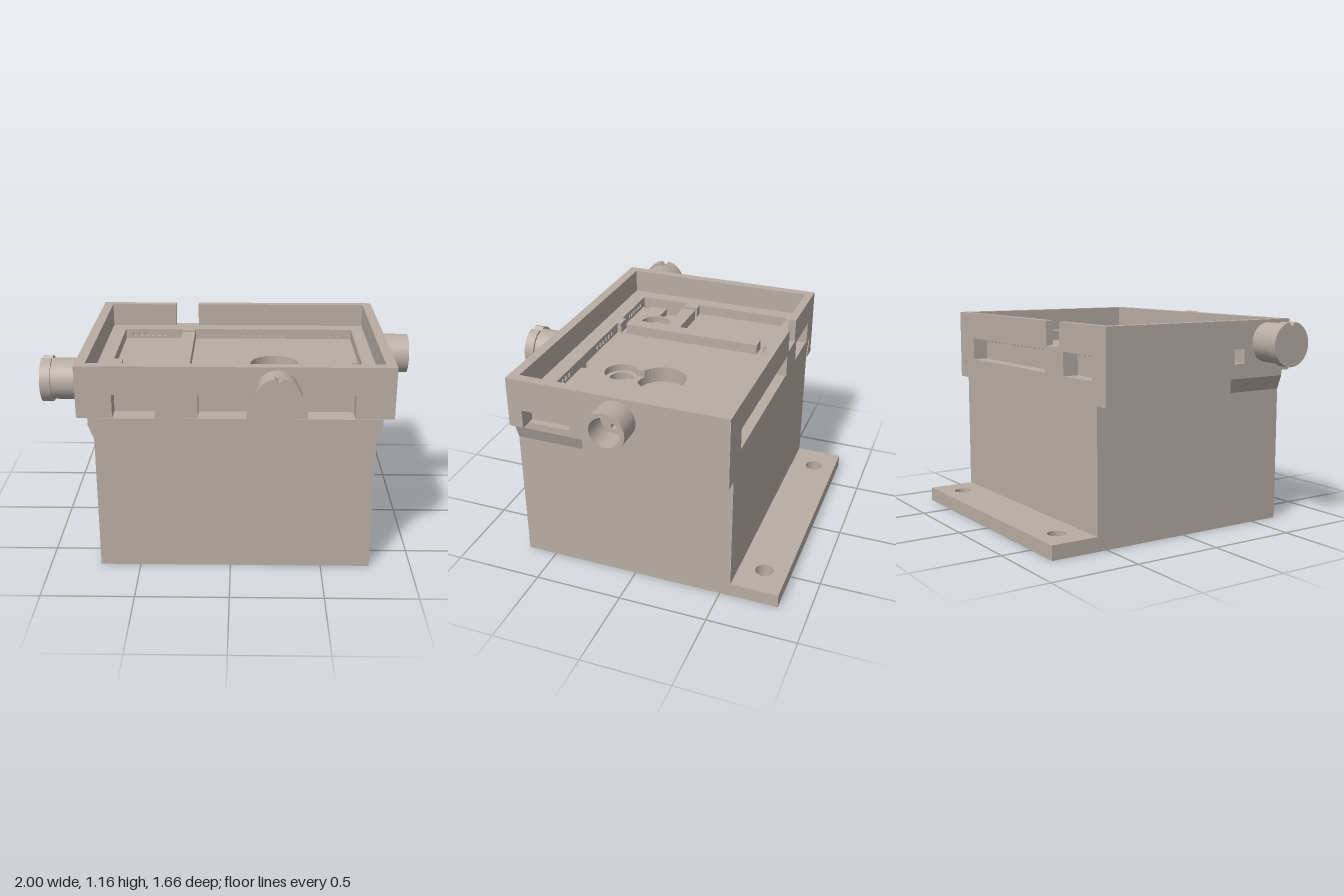
import * as THREE from 'three';

const X0 = -0.81, X1 = 0.86, Z0 = -0.565, Z1 = 0.665, MID = 0.025;

export function createModel() {
  const model = new THREE.Group();
  model.name = 'instrumentBox';
  const taupe = new THREE.MeshStandardMaterial({ color: 0xb8ada5 });
  taupe.name = 'warmGrey';

  const add = (name, geometry, parent = model) => {
    const mesh = new THREE.Mesh(geometry, taupe);
    mesh.name = name;
    parent.add(mesh);
    return mesh;
  };
  const box = (name, x0, x1, y0, y1, z0, z1, parent) =>
    add(name, new THREE.BoxGeometry(x1 - x0, y1 - y0, z1 - z0), parent)
      .position.set((x0 + x1) / 2, (y0 + y1) / 2, (z0 + z1) / 2);

  // Plan outlines are [x, z] lists, raised from y0 to y1
  const vec = (pts) => pts.map(([x, z]) => new THREE.Vector2(x, -z));
  const circle = (x, z, r) => Array.from({ length: 40 }, (_, i) => {
    const a = (i / 40) * Math.PI * 2;
    return [x + r * Math.cos(a), z + r * Math.sin(a)];
  });
  const rect = (x0, x1, z0, z1) => [[x0, z1], [x1, z1], [x1, z0], [x0, z0]];
  const slab = (name, y0, y1, outline, holes = [], parent = model) => {
    const shape = new THREE.Shape(vec(outline));
    for (const h of holes) shape.holes.push(new THREE.Path(vec(h)));
    const g = new THREE.ExtrudeGeometry(shape, { depth: y1 - y0, bevelEnabled: false });
    g.rotateX(-Math.PI / 2).translate(0, y0, 0);
    return add(name, g, parent);
  };
  // Profile in x/y, run along z
  const alongZ = (name, pts, z0, z1) => {
    const shape = new THREE.Shape(pts.map(([x, y]) => new THREE.Vector2(x, y)));
    const g = new THREE.ExtrudeGeometry(shape, { depth: z1 - z0, bevelEnabled: false });
    add(name, g.translate(0, 0, z0));
  };

  // Lower body with flared upper edges, and drilled mounting flange
  const half = [[0.745, 0], [0.745, 0.76], [0.775, 0.84], [0.775, 0.88]];
  alongZ('body', [...half.map(([x, y]) => [MID + x, y]),
    ...half.slice().reverse().map(([x, y]) => [MID - x, y])], -0.56, 0.67);
  slab('mountingFlange', 0, 0.08, rect(-0.72, 0.77, -0.83, -0.56),
    [circle(-0.545, -0.7, 0.05), circle(0.592, -0.7, 0.05)]);

  // Side skirts that grip the flared body
  const skirt = [[0.835, 0.88], [0.775, 0.88], [0.775, 0.84], [0.748, 0.76], [0.835, 0.76]];
  for (const s of [1, -1]) {
    alongZ(s > 0 ? 'leftSkirt' : 'rightSkirt', skirt.map(([x, y]) => [MID + s * x, y]), Z0, 0.24);
  }

  // Tray made of stacked layers
  const tray = new THREE.Group();
  tray.name = 'tray';
  model.add(tray);

  // Rectangular cut with an optional row of small slits in its inner edge
  const notch = (a0, a1, edge, depth, slits = 0, slitDepth = depth) => {
    const pts = [[a0, edge], [a0, depth]];
    for (let i = 0; i < slits; i++) {
      const c = a0 + 0.025 + (i * (a1 - a0 - 0.05)) / (slits - 1);
      pts.push([c - 0.01, depth], [c - 0.01, slitDepth], [c + 0.01, slitDepth], [c + 0.01, depth]);
    }
    return [...pts, [a1, depth], [a1, edge]];
  };
  const frontWindows = [[-0.62, -0.395, 6], [-0.17, 0.085, 6], [0.405, 0.655, 6]];
  const backWindows = [[-0.68, -0.4, 6], [-0.2, 0.675, 18]];
  const outline = ({ slits = false, sidePocket = true, sideHole = false, port = false }) => {
    const front = frontWindows.flatMap(([a, b, n]) => notch(a, b, Z1, 0.565, slits ? n : 0, 0.545));
    const back = backWindows.flatMap(([a, b, n]) => notch(a, b, Z0, -0.475, slits ? n : 0, -0.46));
    const right = [...(port ? notch(0.03, 0.07, X1, 0.75) : []),
      ...(sidePocket ? notch(0.31, 0.585, X1, 0.76) : [])];
    const left = sideHole ? notch(0.265, 0.335, X0, -0.69) : [];
    const swap = ([a, d]) => [d, a];
    return [[X0, Z1], ...front, [X1, Z1], ...right.reverse().map(swap),
      [X1, Z0], ...back.reverse(), [X0, Z0], ...left.map(swap)];
  };

  // Large well joined by a narrow neck to the small well
  const keyhole = () => {
    const pts = [];
    const arc = (z, r, from, to) => {
      for (let i = 0; i <= 32; i++) {
        const a = from + ((to - from) * i) / 32;
        pts.push([0.245 + r * Math.cos(a), z + r * Math.sin(a)]);
      }
    };
    const q = Math.PI / 2;
    arc(0.04, 0.14, q + 0.42, 5 * q - 0.42);
    arc(0.285, 0.095, -q + 0.62, 3 * q - 0.62);
    return pts;
  };

  slab('trayBase', 0.88, 0.93, outline({}),
    [circle(0.245, 0.04, 0.14), circle(0.245, 0.285, 0.07), circle(-0.45, 0.355, 0.07)], tray);
  slab('recessFloor', 0.93, 0.97, outline({ sideHole: true }),
    [keyhole(), circle(-0.45, 0.355, 0.09), rect(-0.67, -0.55, 0.235, 0.365),
      rect(0.695, 0.73, 0.022, 0.068), rect(0.215, 0.275, 0.495, 0.52),
      rect(-0.67, -0.64, 0.475, 0.515)], tray);

  const recess = rect(-0.67, 0.73, -0.435, 0.52);
  slab('recessWall', 0.97, 0.985, outline({ sideHole: true }), [recess], tray);
  const inner = (wins, z, d) => wins.flatMap(([a, b, n]) => notch(a, b, z, z, n, d));
  const slitRecess = [[-0.67, 0.52], ...inner(frontWindows, 0.52, 0.535), [0.73, 0.52],
    [0.73, -0.435], ...inner([[-0.64, -0.4, 6], backWindows[1]], -0.435, -0.45).reverse(),
    [-0.67, -0.435]];
  slab('slottedWall', 0.985, 1.01,
    outline({ slits: true, sidePocket: false, sideHole: true, port: true }), [slitRecess], tray);
  slab('innerLedge', 1.01, 1.03, rect(X0, X1, Z0, Z1), [recess], tray);

  // Dividers between the three recesses, with gaps for channels
  for (const [z0, z1] of [[-0.435, -0.405], [-0.37, 0.46], [0.495, 0.52]]) {
    box('longDivider', -0.315, -0.235, 0.97, 1.03, z0, z1, tray);
  }
  for (const [x0, x1] of [[-0.67, -0.62], [-0.585, -0.315]]) {
    box('shortDivider', x0, x1, 0.97, 1.03, 0.14, 0.225, tray);
  }

  // Raised rim, open at a gap in the back
  slab('rim', 1.03, 1.165, [[-0.36, Z0], [X0, Z0], [X0, Z1], [X1, Z1], [X1, Z0], [-0.22, Z0],
    [-0.22, -0.52], [0.805, -0.52], [0.805, 0.61], [-0.755, 0.61], [-0.755, -0.52],
    [-0.36, -0.52]], [], tray);

  // Connectors, built along +z and turned to face outward
  const connector = (name, x, z, turn) => {
    const group = new THREE.Group();
    group.name = name;
    group.position.set(x, 1.04, z);
    group.rotation.y = turn;
    model.add(group);
    return group;
  };
  const cappedPort = (name, x, z, turn, shaftLength, capLength) => {
    const group = connector(name, x, z, turn);
    const shaft = new THREE.CylinderGeometry(0.11, 0.11, shaftLength, 40);
    add('shaft', shaft.rotateX(Math.PI / 2).translate(0, 0, shaftLength / 2), group);
    // Round cap with a small V notch at the top
    const cap = new THREE.Shape();
    cap.absarc(0, 0, 0.122, Math.PI / 2 + 0.18, Math.PI * 2.5 - 0.18, false);
    cap.lineTo(0, 0.095);
    const g = new THREE.ExtrudeGeometry(cap, { depth: capLength, bevelEnabled: false, curveSegments: 40 });
    add('cap', g.translate(0, 0, shaftLength), group);
  };
  cappedPort('frontPort', 0.245, Z1, 0, 0.11, 0.055);
  cappedPort('rightPort', X0, 0.5, -Math.PI / 2, 0.135, 0.055);

  // Open tube on the left side
  const tube = new THREE.Shape();
  tube.absarc(0, 0, 0.11, 0, Math.PI * 2, false);
  const bore = new THREE.Path();
  bore.absarc(0, 0, 0.085, 0, Math.PI * 2, true);
  tube.holes.push(bore);
  add('tube', new THREE.ExtrudeGeometry(tube, { depth: 0.14, bevelEnabled: false, curveSegments: 40 }),
    connector('leftPort', X1, 0.045, Math.PI / 2));

  return model;
}
